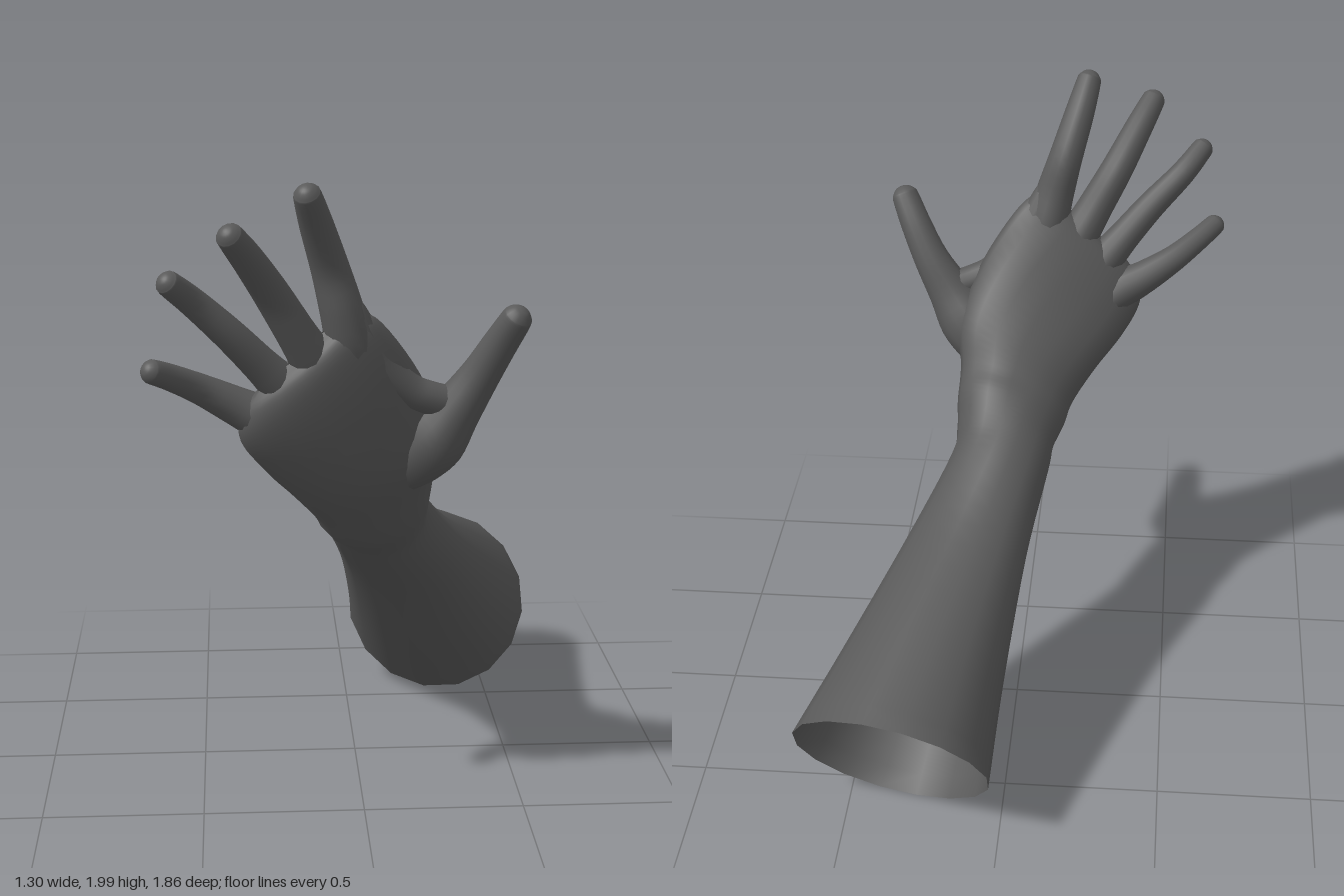
import * as THREE from 'three';

const V = (a) => new THREE.Vector3(a[0], a[1], a[2]);
const skin = new THREE.MeshStandardMaterial({ color: 0x5a5a5a, side: THREE.DoubleSide });

// Skin over elliptical sections [centre, side axis, back axis], smoothed along the length
function loft(name, sections, sides, steps) {
  const curves = [0, 1, 2].map((k) =>
    new THREE.CatmullRomCurve3(sections.map((s) => V(s[k])), false, 'catmullrom', 0.5));
  const rings = (sections.length - 1) * steps;
  const pos = [], index = [];
  for (let i = 0; i <= rings; i++) {
    const [c, a, b] = curves.map((curve) => curve.getPoint(i / rings));
    for (let j = 0; j < sides; j++) {
      const t = (j / sides) * Math.PI * 2;
      pos.push(...c.clone().addScaledVector(a, Math.cos(t)).addScaledVector(b, Math.sin(t)).toArray());
      if (i === rings) continue;
      const k = (j + 1) % sides, p = i * sides;
      index.push(p + j, p + k, p + sides + j, p + k, p + sides + k, p + sides + j);
    }
  }
  const geo = new THREE.BufferGeometry();
  geo.setAttribute('position', new THREE.Float32BufferAttribute(pos, 3));
  geo.setIndex(index);
  geo.computeVertexNormals();
  const mesh = new THREE.Mesh(geo, skin);
  mesh.name = name;
  return mesh;
}

// Tapered finger through points [x, y, z, radius], with a rounded tip
function finger(name, points) {
  const path = new THREE.CatmullRomCurve3(points.map(V));
  const last = points.length - 1;
  const section = (c, tangent, r) => {
    const back = new THREE.Vector3(0, 0.3, -1);
    back.addScaledVector(tangent, -back.dot(tangent)).normalize();
    const side = back.clone().cross(tangent);
    return [c.toArray(), side.multiplyScalar(r).toArray(), back.multiplyScalar(r).toArray()];
  };
  const sections = points.map((p, i) => section(V(p), path.getTangent(i / last), p[3]));
  const tip = V(points[last]), dir = path.getTangent(1), r = points[last][3];
  for (const angle of [0.5, 1.0, 1.35, 1.57]) {
    const c = tip.clone().addScaledVector(dir, r * Math.sin(angle));
    sections.push(section(c, dir, r * Math.cos(angle)));
  }
  return loft(name, sections, 14, 4);
}

export function createModel() {
  const group = new THREE.Group();
  group.name = 'armAndHand';

  // Open forearm, narrowing to the wrist and flattening into the palm
  group.add(loft('forearmAndPalm', [
    [[0.34, 0.287, -0.75], [0.312, -0.03, 0.09], [0.055, 0.28, -0.17]],
    [[0.26, 0.46, -0.46], [0.258, -0.03, 0.07], [0.04, 0.22, -0.138]],
    [[0.155, 0.68, -0.11], [0.2, -0.02, 0.04], [0.02, 0.148, -0.092]],
    [[0.07, 0.85, 0.125], [0.165, 0, 0.02], [0.01, 0.13, -0.085]],
    [[0.057, 0.91, 0.21], [0.163, 0.02, 0.01], [0, 0.128, -0.085]],
    [[0.044, 0.965, 0.285], [0.18, 0.04, 0], [0, 0.134, -0.088]],
    [[0.03, 1.03, 0.362], [0.19, 0.06, 0], [0, 0.107, -0.1]],
    [[0, 1.14, 0.455], [0.23, 0.09, 0], [0, 0.08, -0.117]],
    [[-0.078, 1.272, 0.54], [0.237, 0.135, 0], [0, 0.055, -0.102]],
    [[-0.165, 1.4, 0.61], [0.205, 0.175, 0.01], [-0.01, 0.035, -0.082]],
    [[-0.2, 1.455, 0.637], [0.17, 0.15, 0.01], [-0.01, 0.02, -0.058]],
    [[-0.214, 1.478, 0.648], [0.1, 0.09, 0], [0, 0.002, -0.005]],
  ], 16, 5));

  // Fingers and thumb, rooted inside the palm
  group.add(finger('indexFinger', [
    [-0.02, 1.38, 0.58, 0.055], [-0.05, 1.51, 0.618, 0.07], [-0.077, 1.62, 0.64, 0.064],
    [-0.11, 1.74, 0.655, 0.056], [-0.15, 1.87, 0.72, 0.049], [-0.176, 1.957, 0.785, 0.041]]));
  group.add(finger('middleFinger', [
    [-0.09, 1.33, 0.57, 0.05], [-0.148, 1.45, 0.618, 0.067], [-0.208, 1.555, 0.66, 0.06],
    [-0.28, 1.68, 0.71, 0.054], [-0.345, 1.79, 0.8, 0.047], [-0.39, 1.86, 0.875, 0.04]]));
  group.add(finger('ringFinger', [
    [-0.15, 1.28, 0.55, 0.045], [-0.235, 1.375, 0.605, 0.063], [-0.31, 1.46, 0.645, 0.054],
    [-0.4, 1.56, 0.69, 0.048], [-0.5, 1.66, 0.735, 0.042], [-0.562, 1.722, 0.8, 0.037]]));
  group.add(finger('littleFinger', [
    [-0.19, 1.21, 0.53, 0.045], [-0.29, 1.28, 0.585, 0.066], [-0.39, 1.335, 0.605, 0.056],
    [-0.485, 1.39, 0.64, 0.045], [-0.565, 1.437, 0.7, 0.039], [-0.615, 1.465, 0.75, 0.036]]));
  group.add(finger('thumb', [
    [0.1, 1.06, 0.42, 0.06], [0.15, 1.13, 0.462, 0.092], [0.21, 1.205, 0.5, 0.1],
    [0.27, 1.295, 0.525, 0.077], [0.335, 1.4, 0.55, 0.06], [0.387, 1.5, 0.59, 0.052],
    [0.427, 1.58, 0.635, 0.046]]));

  // Web of skin between thumb and index finger
  group.add(finger('thumbWeb', [
    [0.25, 1.315, 0.527, 0.05], [0.185, 1.335, 0.545, 0.05], [0.12, 1.365, 0.56, 0.052],
    [0.035, 1.45, 0.588, 0.055], [-0.02, 1.55, 0.62, 0.05], [-0.05, 1.61, 0.637, 0.045]]));
  return group;
}
